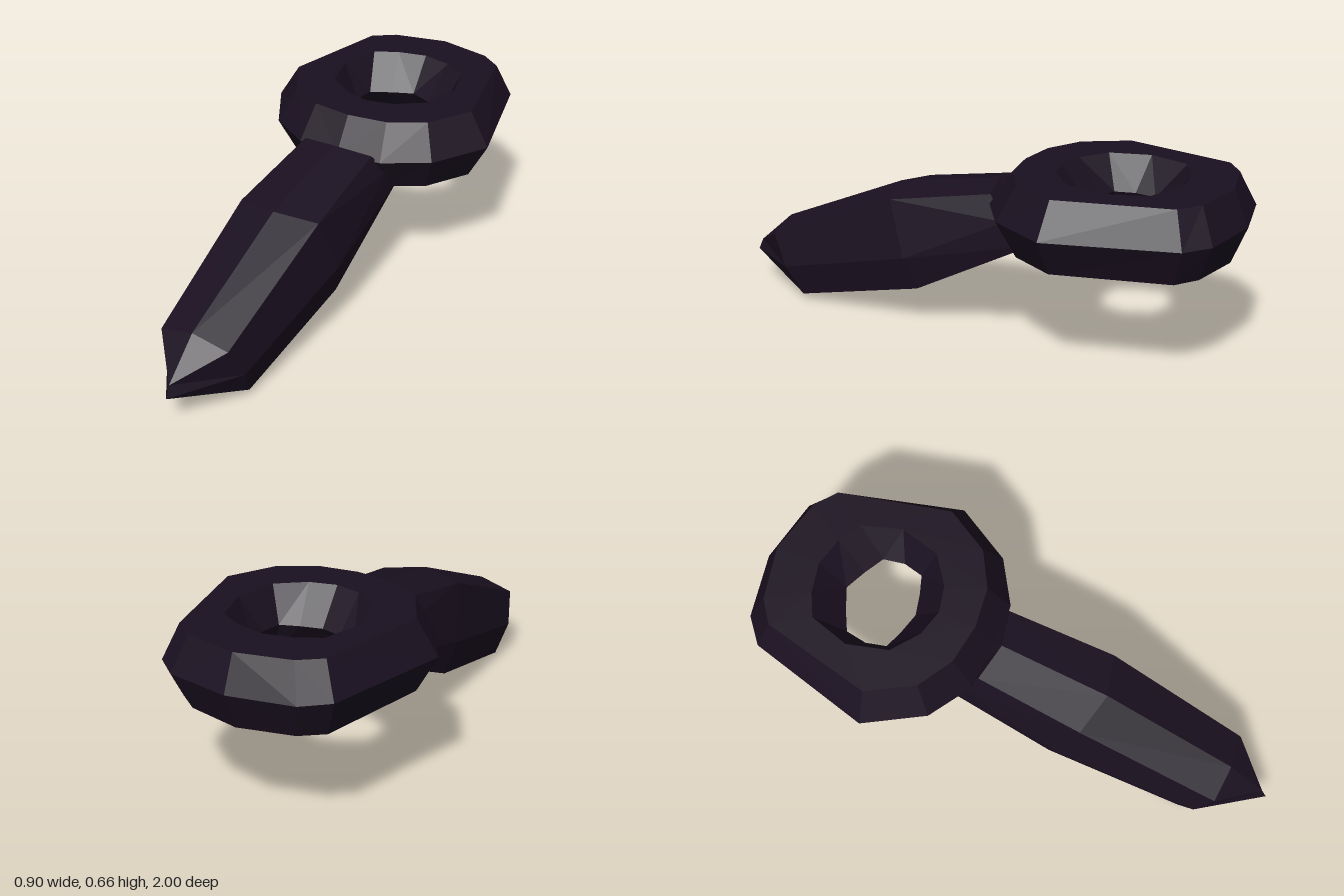
import * as THREE from 'three';

const material = new THREE.MeshStandardMaterial({ color: 0x1a1020, flatShading: true });

// Close a half outline (centre line to centre line through +x) by mirroring it.
function mirrorLoop(half) {
  const other = half.slice(1, -1).reverse().map(([x, y, z]) => [-x, y, z]);
  return [...half, ...other];
}

// Skin a row of closed loops with flat facets, optionally capping the last one.
function skin(loops, capEnd = false) {
  const positions = [];
  const tri = (...corners) => {
    const [a, b, c] = corners.map((p) => new THREE.Vector3(...p));
    const area = b.clone().sub(a).cross(c.clone().sub(a)).length();
    if (area > 1e-7) corners.forEach((p) => positions.push(...p));
  };
  for (let i = 0; i < loops.length - 1; i++) {
    const n = loops[i].length;
    for (let j = 0; j < n; j++) {
      const k = (j + 1) % n;
      const a = loops[i][j], b = loops[i][k], c = loops[i + 1][k], d = loops[i + 1][j];
      // Mirror the diagonal so both halves match.
      if (j < n / 2) { tri(a, b, c); tri(a, c, d); }
      else { tri(a, b, d); tri(b, c, d); }
    }
  }
  if (capEnd) {
    const end = loops[loops.length - 1];
    for (let j = 1; j < end.length - 1; j++) tri(end[0], end[j], end[j + 1]);
  }
  const geometry = new THREE.BufferGeometry();
  geometry.setAttribute('position', new THREE.Float32BufferAttribute(positions, 3));
  geometry.computeVertexNormals();
  return geometry;
}

// Bevelled ring: half outlines in plan as [x, z], from back to front
function makeRing() {
  const outer = [[0, -1], [0.24, -0.955], [0.33, -0.88], [0.452, -0.42], [0.33, -0.21], [0.17, -0.11], [0, -0.09]];
  const outerRim = [[0, -0.945], [0.2, -0.9], [0.28, -0.84], [0.375, -0.43], [0.28, -0.265], [0.15, -0.19], [0, -0.17]];
  const innerRim = [[0, -0.78], [0.11, -0.755], [0.195, -0.71], [0.24, -0.56], [0.2, -0.41], [0.1, -0.335], [0, -0.31]];
  const hole = [[0, -0.685], [0.08, -0.65], [0.155, -0.61], [0.168, -0.53], [0.15, -0.455], [0.08, -0.43], [0, -0.41]];
  const top = 0.657, middle = 0.53, bottom = 0.393;
  const at = (outline, y) => mirrorLoop(outline.map(([x, z]) => [x, y, z]));
  return skin([
    at(outer, middle), at(outerRim, bottom), at(innerRim, bottom),
    at(hole, middle), at(innerRim, top), at(outerRim, top), at(outer, middle),
  ]);
}

// Bent, faceted shank: half sections from top centre to bottom centre, tip first
function makeShank() {
  const sections = [
    [[0, 0.16, 0.98], [0, 0.16, 0.98], [0, 0.117, 1], [0, 0.117, 1], [0, 0.117, 1]],
    [[0, 0.285, 0.84], [0.135, 0.25, 0.83], [0.16, 0.133, 0.77], [0.133, 0.022, 0.71], [0, 0, 0.7]],
    [[0, 0.5, 0.34], [0.16, 0.48, 0.3], [0.197, 0.273, 0.23], [0.165, 0.15, 0.19], [0, 0.135, 0.18]],
    [[0, 0.575, -0.07], [0.14, 0.555, -0.1], [0.17, 0.47, -0.17], [0.165, 0.395, -0.27], [0, 0.39, -0.3]],
  ];
  return skin(sections.map(mirrorLoop), true);
}

export function createModel() {
  const group = new THREE.Group();
  const parts = { ring: makeRing(), shank: makeShank() };
  for (const [name, geometry] of Object.entries(parts)) {
    const mesh = new THREE.Mesh(geometry, material);
    mesh.name = name;
    group.add(mesh);
  }
  return group;
}
